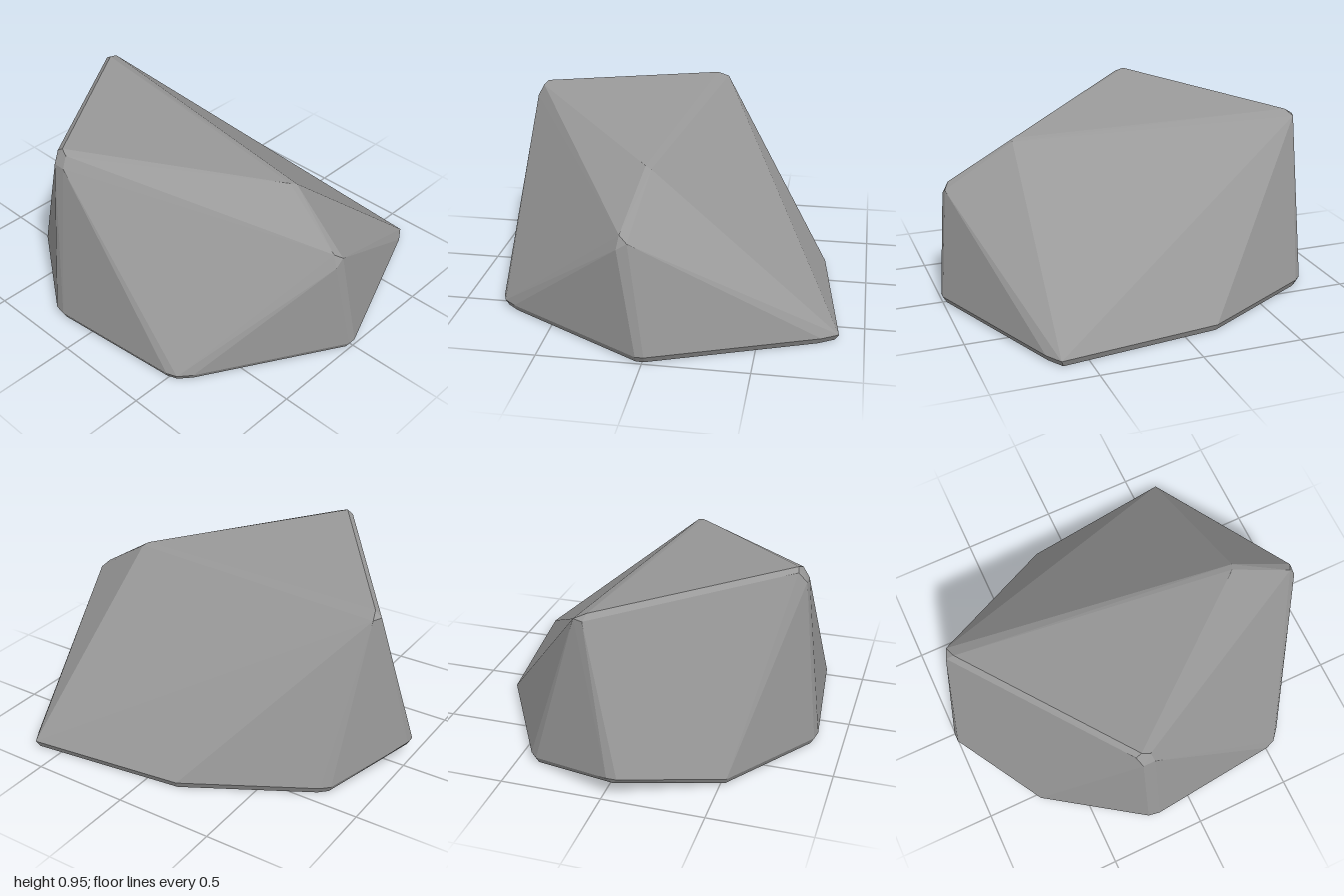
import * as THREE from 'three';
import { ConvexGeometry } from 'three/addons/geometries/ConvexGeometry.js';

export function createModel() {
  const group = new THREE.Group();
  group.name = 'rock';
  const stone = new THREE.MeshStandardMaterial({ color: 0x999999 });
  stone.name = 'stone grey';

  const points = [];
  const add = (x, y, z) => points.push(new THREE.Vector3(x, y, z));

  // Footprint: outer rim with a small chamfer down to the flat underside
  const footprint = [
    [-0.72, 0.53], [-0.24, 0.86], [-0.18, 0.87], [0.5, 0.8], [0.55, 0.78], [0.6, 0.72],
    [1, 0.03], [1, -0.01], [0.69, -0.8], [0.64, -0.88], [-0.17, -0.78], [-0.77, -0.44], [-0.81, -0.4],
  ];
  for (const [x, z] of footprint) {
    add(x, 0.033, z);
    add(x * 0.98, 0, z * 0.98);
  }

  // Worn corners above the footprint, each a small cluster of points
  const corners = {
    lowSide: [[-1, 0.12, 0.03], [-1, 0.12, 0.08], [-0.985, 0.09, 0.06]],
    frontPeak: [[-0.27, 0.93, 0.74], [-0.24, 0.95, 0.735], [-0.2, 0.935, 0.75], [-0.25, 0.88, 0.78], [-0.19, 0.88, 0.78]],
    sidePeak: [[-0.88, 0.84, -0.11], [-0.84, 0.865, -0.1], [-0.86, 0.84, -0.16]],
    topShoulder: [[0.59, 0.81, 0.05], [0.605, 0.8, 0.02]],
    sideShoulder: [[0.92, 0.6, 0.11], [0.945, 0.57, 0.07], [0.948, 0.54, 0.12]],
  };
  for (const cluster of Object.values(corners)) cluster.forEach((p) => add(...p));

  // Faceted boulder wrapped around the points
  const boulder = new THREE.Mesh(new ConvexGeometry(points), stone);
  boulder.name = 'boulder';
  group.add(boulder);
  return group;
}
